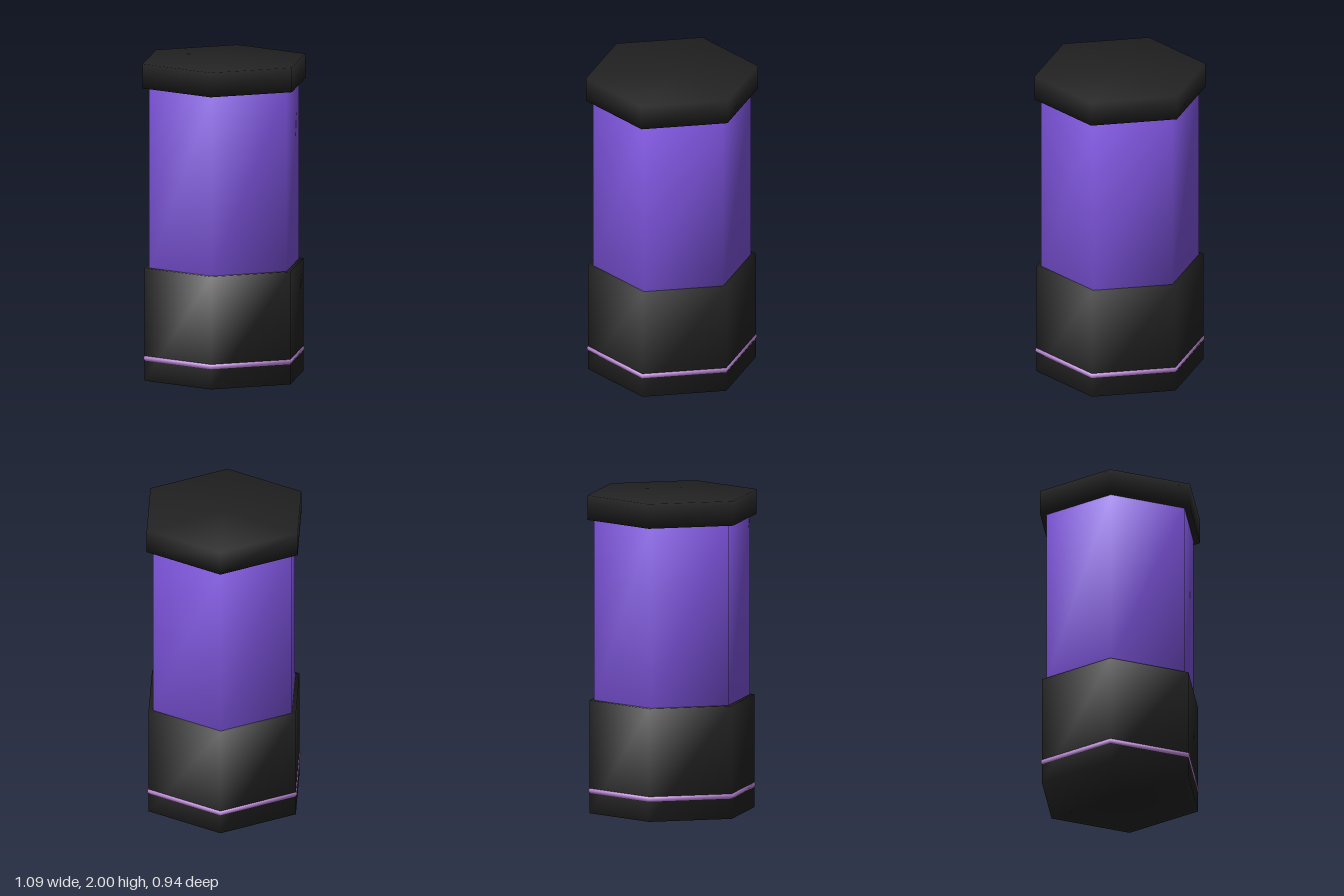
import * as THREE from 'three';
import { mergeVertices } from 'three/addons/utils/BufferGeometryUtils.js';

const SIDES = 6;

// Hexagonal prism with corners on the x axis and normals blended over every edge
function softPrism(radius, bottom, top) {
  const geometry = new THREE.CylinderGeometry(radius, radius, top - bottom, SIDES, 1, false, Math.PI / 2);
  geometry.translate(0, (top + bottom) / 2, 0);
  geometry.deleteAttribute('normal');
  geometry.deleteAttribute('uv');
  const soft = mergeVertices(geometry, 1e-4);
  soft.computeVertexNormals();
  return soft;
}

export function createModel() {
  const group = new THREE.Group();
  group.name = 'hexagonalCanister';

  const black = new THREE.MeshStandardMaterial({ name: 'black', color: 0x222222 });
  const purple = new THREE.MeshStandardMaterial({ name: 'purple', color: 0x7f55e0 });
  const lilac = new THREE.MeshStandardMaterial({ name: 'lilac', color: 0xc08adc });

  const add = (name, geometry, material) => {
    const mesh = new THREE.Mesh(geometry, material);
    mesh.name = name;
    group.add(mesh);
  };

  // Stacked body parts: base, coloured body and lid
  add('base', softPrism(0.53, 0, 0.71), black);
  add('body', softPrism(0.5, 0.71, 1.845), purple);
  add('lid', softPrism(0.543, 1.845, 2), black);

  // Thin six-sided band around the base
  const band = new THREE.TorusGeometry(0.515, 0.022, 12, SIDES);
  band.rotateX(Math.PI / 2);
  band.translate(0, 0.142, 0);
  add('trimBand', band, lilac);

  return group;
}
